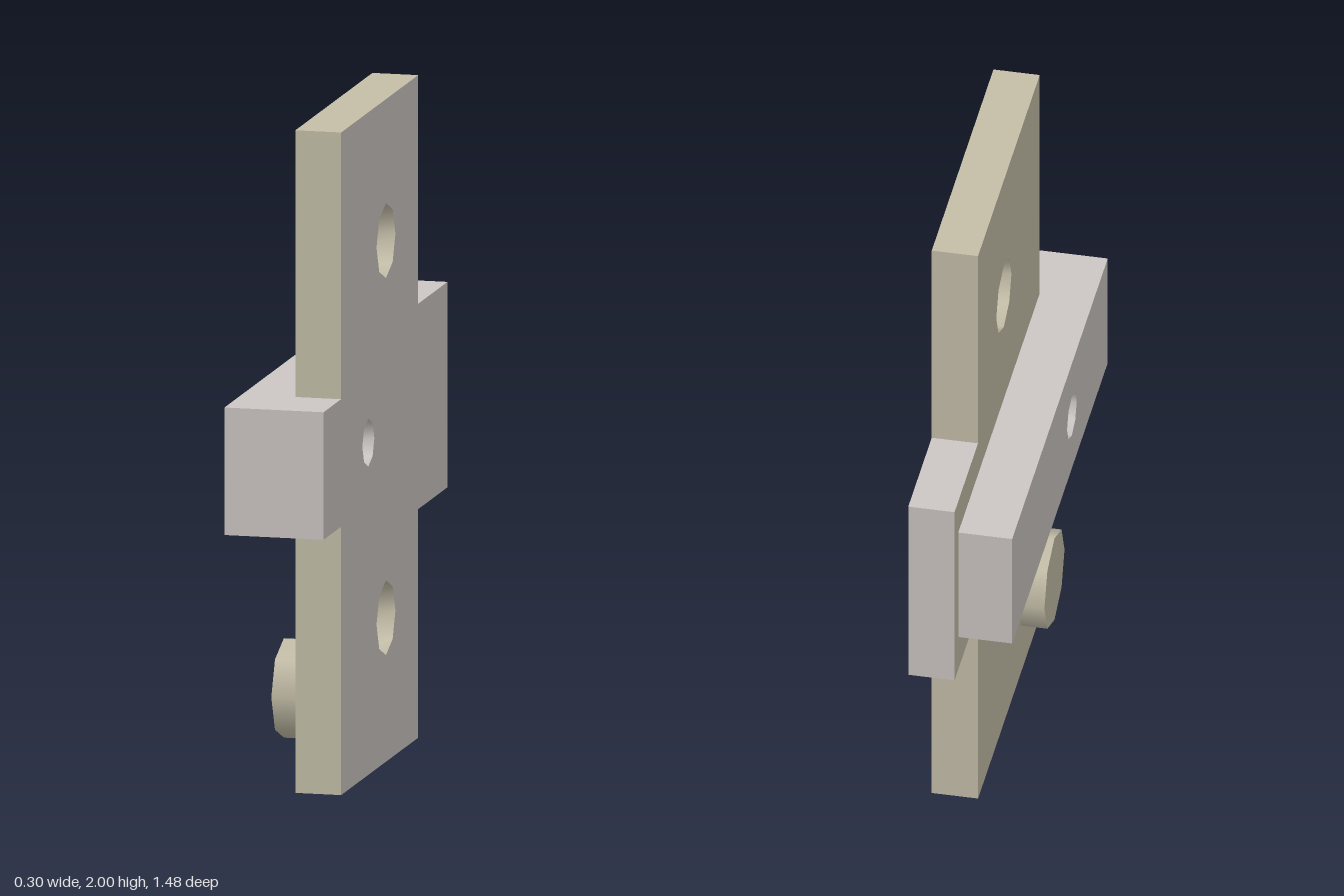
import * as THREE from 'three';
import { toCreasedNormals } from 'three/addons/utils/BufferGeometryUtils.js';

const grey = new THREE.MeshStandardMaterial({ color: 0xccc6c3 });
const tan = new THREE.MeshStandardMaterial({ color: 0xc4bea8 });

// Eight-sided hole outline at (z, y)
function octagon(z, y, r) {
  const pts = [];
  for (let i = 0; i < 8; i++) {
    const a = (i * Math.PI) / 4;
    pts.push(new THREE.Vector2(-z + r * Math.cos(a), y + r * Math.sin(a)));
  }
  return new THREE.Path(pts);
}

// Extrudes a [z, y] outline with [z, y, radius] holes from x0 to x1
function slab(outline, holes, x0, x1) {
  const shape = new THREE.Shape(outline.map(([z, y]) => new THREE.Vector2(-z, y)));
  shape.holes = holes.map((h) => octagon(...h));
  const geo = new THREE.ExtrudeGeometry(shape, { depth: x1 - x0, bevelEnabled: false });
  geo.rotateY(Math.PI / 2).translate(x0, 0, 0);
  return toCreasedNormals(geo, 0.9);
}

// Outer face, tab edges and pin hole are grey; the rest of the plate is tan
function groupByFinish(geo) {
  const p = geo.attributes.position;
  const n = geo.attributes.normal;
  geo.clearGroups();
  for (let i = 0; i < p.count; i += 3) {
    const y = (p.getY(i) + p.getY(i + 1) + p.getY(i + 2)) / 3;
    const isGrey = n.getX(i) > 0.9 || (n.getX(i) > -0.9 && y > 0.68 && y < 1.32);
    geo.addGroup(i, 3, isGrey ? 0 : 1);
  }
  return geo;
}

export function createModel() {
  const group = new THREE.Group();
  const add = (name, geo, mat) => {
    const mesh = new THREE.Mesh(geo, mat);
    mesh.name = name;
    group.add(mesh);
    return mesh;
  };
  const pinHole = [0.205, 1.003, 0.072];

  // Upright plate with a narrow front tab and a wide rear tab
  const plate = slab(
    [
      [0.53, 0], [0.53, 0.81], [0.74, 0.81], [0.74, 1.195], [0.53, 1.195], [0.53, 2],
      [-0.39, 2], [-0.39, 1.31], [-0.74, 1.31], [-0.74, 0.69], [-0.39, 0.69], [-0.39, 0],
    ],
    [pinHole, [-0.005, 1.573, 0.113], [-0.005, 0.435, 0.113]],
    0.01, 0.15
  );
  add('plate', groupByFinish(plate), [grey, tan]);

  // Cross bar on the inner side, sharing the pin hole
  add('crossBar', slab(
    [[0.74, 0.81], [0.74, 1.195], [-0.685, 1.195], [-0.685, 0.81]],
    [pinHole], -0.153, 0.01
  ), grey);

  // Round stud low on the inner side
  const stud = add('stud', new THREE.CylinderGeometry(0.15, 0.15, 0.08, 8), tan);
  stud.rotation.z = Math.PI / 2;
  stud.position.set(-0.03, 0.28, 0.355);

  return group;
}
